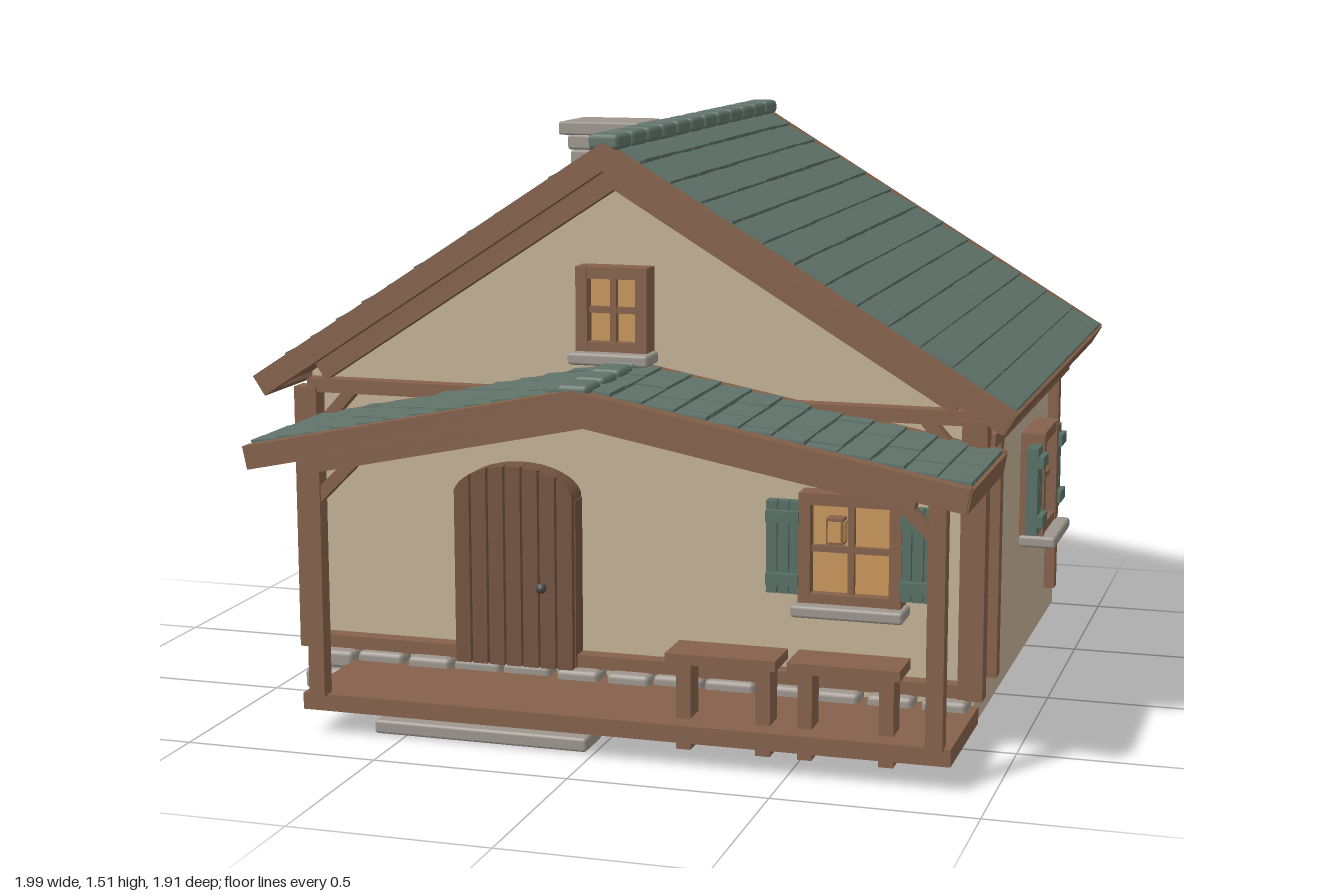
import * as THREE from 'three';
import { mergeGeometries } from 'three/addons/utils/BufferGeometryUtils.js';
import { RoundedBoxGeometry } from 'three/addons/geometries/RoundedBoxGeometry.js';

const mat = (name, color) => Object.assign(new THREE.MeshStandardMaterial({ color }), { name });
const plaster = mat('plaster', 0xc4b196);
const wood = mat('wood', 0x85614a);
const doorWood = mat('doorWood', 0x745440);
const roofGreen = mat('roofGreen', 0x60736a);
const shutterGreen = mat('shutterGreen', 0x587065);
const stone = mat('stone', 0x9c968d);
const glow = mat('windowGlow', 0xc8975a);
const iron = mat('iron', 0x4a4a4c);

function add(parent, name, geometry, material) {
  const mesh = new THREE.Mesh(geometry, material);
  mesh.name = name;
  parent.add(mesh);
  return mesh;
}

// Box given by its limits; a bevel makes its edges chamfered
function box(parent, name, material, x0, x1, y0, y1, z0, z1, bevel = 0) {
  const size = [x1 - x0, y1 - y0, z1 - z0];
  const geo = bevel ? new RoundedBoxGeometry(...size, 1, bevel) : new THREE.BoxGeometry(...size);
  const mesh = add(parent, name, geo, material);
  mesh.position.set((x0 + x1) / 2, (y0 + y1) / 2, (z0 + z1) / 2);
  return mesh;
}

// Square timber between two points of an upright plane
function brace(parent, a, b, z0, z1, t) {
  const len = Math.hypot(b[0] - a[0], b[1] - a[1]);
  const mesh = add(parent, 'kneeBrace', new THREE.BoxGeometry(len, t, z1 - z0), wood);
  mesh.position.set((a[0] + b[0]) / 2, (a[1] + b[1]) / 2, (z0 + z1) / 2);
  mesh.rotation.z = Math.atan2(b[1] - a[1], b[0] - a[0]);
}

let seed = 7;
const rand = () => (seed = (seed * 16807) % 2147483647) / 2147483647;

// Overlapping shingles in a slope frame: x runs down the slope, y is its normal
function shingles(length, depth, rows, width) {
  const parts = [], pitch = length / rows;
  for (let r = 0; r < rows; r++) {
    for (let z = -depth / 2 - (r % 2) * width / 2; z < depth / 2 - 0.01; z += width) {
      const a = Math.max(z, -depth / 2), b = Math.min(z + width, depth / 2);
      if (b - a < 0.02) continue;
      const tile = new THREE.BoxGeometry(pitch * 1.12, 0.016, b - a - 0.006);
      tile.rotateZ(0.1);
      tile.translate((r + 0.5) * pitch, -0.004 + rand() * 0.004, (a + b) / 2);
      parts.push(tile);
    }
  }
  return mergeGeometries(parts);
}

// Gabled roof: boards, shingles, barge boards, eave boards and ridge caps
function gableRoof(name, ridge, eaves, z0, z1, rows, gableZ, caps, capY) {
  const roof = new THREE.Group();
  roof.name = name;
  const depth = z1 - z0, zc = (z0 + z1) / 2;
  for (const [ex, ey] of eaves) {
    const side = Math.sign(ex - ridge[0]);
    const run = Math.abs(ex - ridge[0]), rise = ridge[1] - ey, len = Math.hypot(run, rise);
    const slope = new THREE.Group();
    slope.name = 'roofSlope';
    slope.position.set(ridge[0], ridge[1], zc);
    slope.rotation.set(0, side > 0 ? 0 : Math.PI, -Math.atan2(rise, run));
    roof.add(slope);
    const h = depth / 2;
    box(slope, 'roofBoards', wood, 0, len, -0.045, -0.012, -h + 0.02, h - 0.02);
    add(slope, 'shingles', shingles(len, depth - 0.075, rows, 0.145), roofGreen);
    for (const e of [-1, 1]) {
      const c = e * (h - 0.019);
      box(slope, 'bargeBoard', wood, 0, len + 0.01, -0.055, 0.004, c - 0.019, c + 0.019);
    }
    box(slope, 'eaveBoard', wood, len - 0.018, len + 0.014, -0.055, 0, -h + 0.01, h - 0.01);
    const g = side * (gableZ - zc);
    box(slope, 'gableRafter', wood, 0, len - 0.12, -0.1, -0.05, g - 0.022, g + 0.022);
  }
  const step = depth / caps;
  for (let i = 0; i < caps; i++) {
    const z = z0 + i * step;
    box(roof, 'ridgeCap', roofGreen, ridge[0] - 0.04, ridge[0] + 0.04,
      capY - 0.04, capY, z + 0.008, z + step - 0.008, 0.012);
  }
  return roof;
}

// Window facing +z, centred on its frame
function makeWindow(w, h, shutters) {
  const g = new THREE.Group(), x = w / 2, y = h / 2, f = 0.03;
  g.name = 'window';
  box(g, 'pane', glow, -x + 0.01, x - 0.01, -y + 0.01, y - 0.01, -0.01, 0.03);
  for (const s of [-1, 1]) {
    const cx = s * (x - f / 2), cy = s * (y - f / 2);
    box(g, 'frameSide', wood, cx - f / 2, cx + f / 2, -y, y, 0, 0.065);
    box(g, 'frameRail', wood, -x, x, cy - f / 2, cy + f / 2, 0, 0.062);
  }
  box(g, 'mullion', wood, -0.008, 0.008, -y, y, 0.02, 0.048);
  box(g, 'transom', wood, -x, x, -0.008, 0.008, 0.02, 0.046);
  box(g, 'sill', stone, -x - 0.012, x + 0.012, -y - 0.025, -y + 0.006, 0, 0.1, 0.008);
  if (!shutters) return g;
  for (const s of [-1, 1]) {
    const c = s * (x + 0.04), q = y - 0.025;
    for (let i = -1; i <= 1; i++) {
      const px = c + i * 0.03;
      box(g, 'shutterPlank', shutterGreen, px - 0.0135, px + 0.0135, -q, q, 0.03, 0.06);
    }
    for (const by of [-q * 0.68, q * 0.68])
      box(g, 'shutterBatten', shutterGreen, c - 0.042, c + 0.042, by - 0.015, by + 0.015, 0.03, 0.075);
  }
  return g;
}

// Arched plank door
function makeDoor() {
  const g = new THREE.Group(), half = 0.163, n = 7, w = 2 * half / n;
  g.name = 'door';
  const top = x => 0.57 + 0.085 * Math.sqrt(Math.max(0, 1 - (x / half) ** 2));
  const panel = (name, a, b, depth) => {
    const shape = new THREE.Shape().moveTo(a, 0.13).lineTo(b, 0.13);
    for (let i = 0; i <= 8; i++) {
      const x = b + (a - b) * i / 8;
      shape.lineTo(x, top(x));
    }
    add(g, name, new THREE.ExtrudeGeometry(shape, { depth, bevelEnabled: false }), doorWood);
  };
  panel('doorBacking', -half, half, 0.055);
  for (let i = 0; i < n; i++) panel('doorPlank', -half + i * w + 0.003, -half + (i + 1) * w - 0.003, 0.075);
  add(g, 'doorKnob', new THREE.SphereGeometry(0.014, 12, 8), iron).position.set(0.08, 0.345, 0.085);
  g.position.set(-0.302, 0, 0.47);
  return g;
}

export function createModel() {
  const house = new THREE.Group();
  house.name = 'cottage';

  // Walls with both gables
  const outline = new THREE.Shape([[-0.885, 0.05], [0.885, 0.05], [0.885, 0.865], [-0.037, 1.43], [-0.885, 0.865]]
    .map(p => new THREE.Vector2(...p)));
  add(house, 'walls', new THREE.ExtrudeGeometry(outline, { depth: 1.298, bevelEnabled: false }), plaster)
    .position.z = -0.828;

  // Roofs
  house.add(gableRoof('mainRoof', [-0.037, 1.485], [[-0.983, 0.868], [0.983, 0.868]],
    -0.955, 0.6, 13, 0.493, 12, 1.51));
  house.add(gableRoof('porchRoof', [0, 0.93], [[-0.843, 0.752], [0.943, 0.752]],
    0.46, 0.953, 12, 0.845, 4, 0.945));

  // Timber framing on the front and side walls
  box(house, 'tieBeam', wood, -0.88, 0.89, 0.817, 0.853, 0.46, 0.515);
  box(house, 'sillBeam', wood, -0.9, 0.9, 0.13, 0.165, 0.46, 0.515);
  for (const s of [-1, 1]) {
    box(house, 'cornerPost', wood, s * 0.884 - 0.031, s * 0.884 + 0.031, 0.13, 0.83, 0.468, 0.522);
    brace(house, [s * 0.855, 0.72], [s * 0.76, 0.825], 0.475, 0.51, 0.03);
    for (const z of [0.295, -0.672])
      box(house, 'sidePost', wood, s * 0.895 - 0.02, s * 0.895 + 0.02, 0.135, 0.83, z - 0.021, z + 0.021);
    box(house, 'sideBeam', wood, s * 0.9 - 0.022, s * 0.9 + 0.022, 0.753, 0.787, -0.805, 0.45);
    const win = makeWindow(0.25, 0.285, true);
    win.position.set(s * 0.885, 0.532, -0.305);
    win.rotation.y = s * Math.PI / 2;
    house.add(win);
  }

  // Front openings
  const frontWindow = makeWindow(0.26, 0.285, true);
  frontWindow.position.set(0.583, 0.493, 0.485);
  const atticWindow = makeWindow(0.187, 0.22, false);
  atticWindow.position.set(-0.037, 1.065, 0.47);
  house.add(frontWindow, atticWindow, makeDoor());

  // Porch deck, posts and braces
  box(house, 'porchDeck', wood, -0.755, 0.9, 0.065, 0.108, 0.485, 0.85);
  for (const [x, s] of [[-0.71, 1], [0.862, -1]]) {
    box(house, 'porchPost', wood, x - 0.021, x + 0.021, 0.105, 0.72, 0.823, 0.866);
    brace(house, [x + s * 0.01, 0.615], [x + s * 0.12, 0.725], 0.83, 0.86, 0.03);
  }
  // Hanging lantern
  box(house, 'lanternCase', wood, 0.555, 0.597, 0.54, 0.605, 0.64, 0.682);
  box(house, 'lanternGlass', glow, 0.56, 0.592, 0.547, 0.598, 0.637, 0.685);
  box(house, 'lanternGlassSide', glow, 0.552, 0.6, 0.547, 0.598, 0.645, 0.677);

  // Benches
  for (const x of [0.328, 0.632]) {
    box(house, 'benchSeat', wood, x - 0.138, x + 0.138, 0.252, 0.278, 0.695, 0.82);
    for (const s of [-1, 1])
      box(house, 'benchLeg', wood, x + s * 0.1 - 0.018, x + s * 0.1 + 0.018, 0.03, 0.255, 0.72, 0.79);
  }

  // Steps
  box(house, 'lowerStep', stone, -0.585, -0.02, 0, 0.036, 0.675, 0.8, 0.008);
  box(house, 'upperStep', stone, -0.55, -0.05, 0.03, 0.058, 0.615, 0.7, 0.008);

  // Foundation stones, doubled near the corners
  for (let i = 0; i < 13; i++) {
    const x = -0.885 + i * 0.1362, r = rand() * 0.02;
    box(house, 'foundationStone', stone, x, x + 0.128 - r * 0.4, 0.02 + r * 0.4, 0.085, 0.475, 0.55 + r, 0.014);
    box(house, 'foundationStone', stone, x + r, x + 0.132, 0.085, 0.132, 0.47, 0.535 + r, 0.012);
  }

  // Chimney
  for (let i = 0; i < 7; i++) {
    const d = i % 2 ? 0.006 : 0;
    box(house, 'chimneyCourse', stone, -0.488 + d, -0.298 - d, 1.12 + i * 0.0445, 1.163 + i * 0.0445,
      -0.625 + d, -0.435 - d, 0.008);
  }
  box(house, 'chimneyCap', stone, -0.51, -0.27, 1.43, 1.468, -0.643, -0.42, 0.006);

  return house;
}
